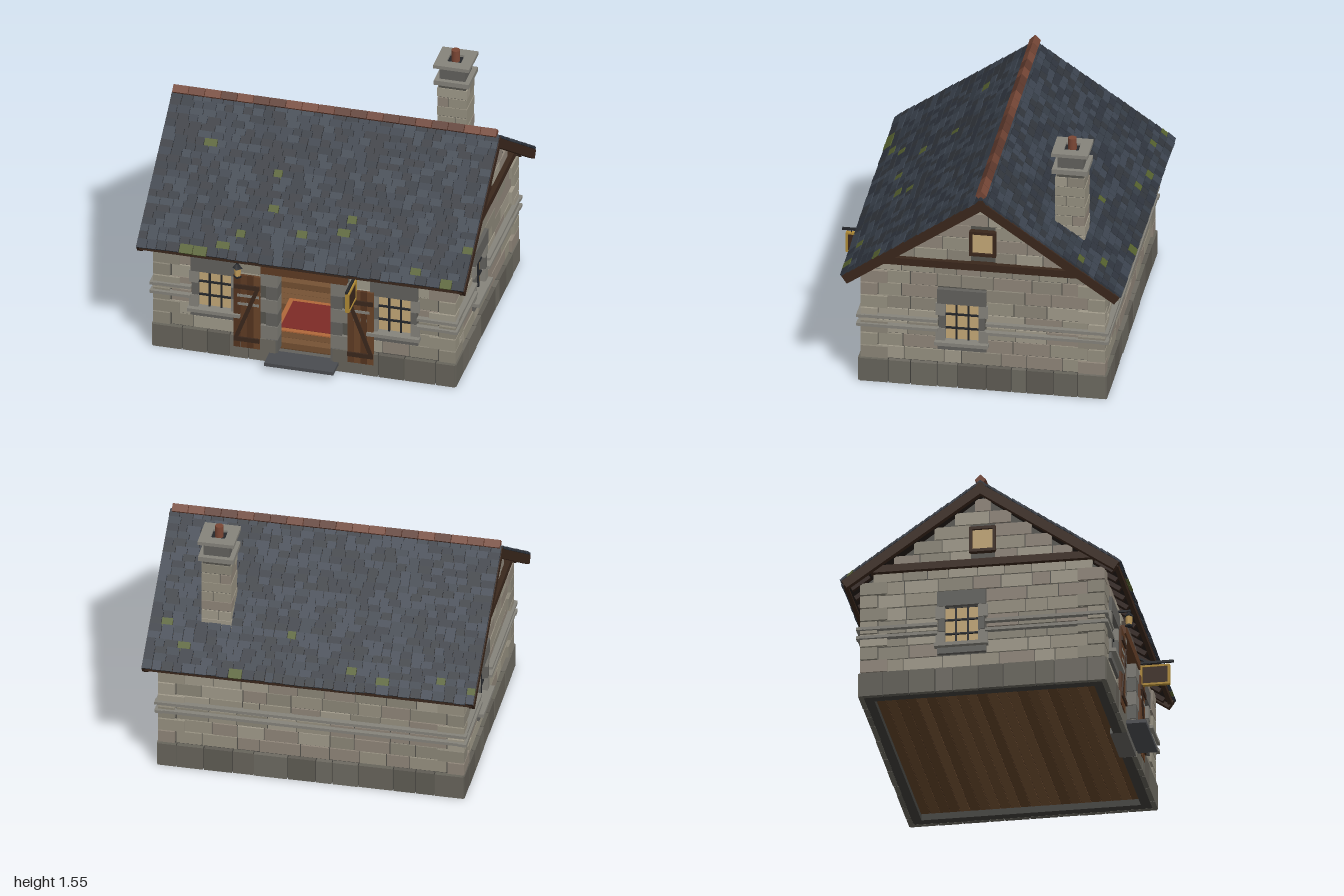
import * as THREE from 'three';
import { mergeGeometries } from 'three/addons/utils/BufferGeometryUtils.js';

const STONE = [0x969080, 0x8b8678, 0xa09a8a, 0x8f8579];
const PLINTH = [0x67645b, 0x5f5c54, 0x6d6a61];
const SLATE = [0x353c46, 0x2e343d, 0x3b434e, 0x31353b];
const RIDGE = [0x6b4031, 0x5c382c, 0x744636];
const MORTAR = 0x56544e, DRESSED = 0x62615d, SILL = 0x85837b, BEAM = 0x3a271c, IRON = 0x24262a;
const DOOR = 0x5f3b24, GOLD = 0xb08a35, GLASS = 0xc4a877, MOSS = 0x55602f, PALE = 0xb3ac98;
const HX = 0.9, HZ = 0.715, WALL0 = 0.155, WALL1 = 0.74, ROWS = 7;
const RIDGE_Y = 1.31, PITCH = Math.atan(0.69), SLOPE = 1.008;

export function createModel() {
  const model = new THREE.Group();
  model.name = 'stoneCottage';
  const parts = new Map();
  const ID = new THREE.Matrix4();
  let seed = 7;
  const rnd = () => (seed = (seed * 16807) % 2147483647) / 2147483647;
  const pick = list => list[Math.floor(rnd() * list.length)];

  // Collect geometry per part and colour; each bucket becomes one mesh
  const put = (name, color, geo, M = ID) => {
    const key = name + '|' + color;
    if (!parts.has(key)) parts.set(key, { name, color, geos: [] });
    const g = geo.index ? geo.toNonIndexed() : geo;
    parts.get(key).geos.push(g.applyMatrix4(M));
  };
  const box = (name, color, w, h, d, x, y, z, M = ID, rx = 0, rz = 0) =>
    put(name, color, new THREE.BoxGeometry(w, h, d).rotateX(rx).rotateZ(rz).translate(x, y, z), M);
  const cyl = (name, color, r0, r1, h, x, y, z, n = 10) =>
    put(name, color, new THREE.CylinderGeometry(r0, r1, h, n).translate(x, y, z));
  const frame = (angle, dist) => new THREE.Matrix4().makeRotationY(angle)
    .multiply(new THREE.Matrix4().makeTranslation(0, 0, dist));

  // Lay one row of blocks from a to b, leaving out the gaps [from, to]
  const row = (name, colors, M, a, b, y0, y1, gaps, width, z, depth, joint = 0.006) => {
    let start = a;
    for (const [g0, g1] of [...gaps, [b, b]]) {
      const len = g0 - start;
      if (len > 0.02) {
        const n = Math.max(1, Math.round(len / width));
        const cuts = Array.from({ length: n + 1 }, (_, i) =>
          start + len * (i + (i > 0 && i < n ? (rnd() - 0.5) * 0.5 : 0)) / n);
        for (let i = 0; i < n; i++)
          box(name, pick(colors), cuts[i + 1] - cuts[i] - joint, y1 - y0 - joint, depth,
            (cuts[i] + cuts[i + 1]) / 2, (y0 + y1) / 2, z - depth / 2 + (rnd() - 0.5) * 0.005, M);
      }
      start = g1;
    }
  };

  // Window with bars, dressed stone surround and sill, in wall coordinates
  const windowAt = (c, M) => {
    box('windowGlass', GLASS, 0.21, 0.25, 0.012, c, 0.427, -0.025, M);
    for (const i of [-1, 1]) {
      box('windowBars', IRON, 0.01, 0.25, 0.014, c + i * 0.036, 0.427, -0.014, M);
      box('windowBars', IRON, 0.21, 0.01, 0.014, c, 0.427 + i * 0.045, -0.014, M);
      for (let k = 0; k < 3; k++) {
        const w = k === 1 ? 0.035 : 0.055;
        box('windowJambs', k === 1 ? DRESSED : SILL, w, 0.08, 0.05, c + i * (0.1 + w / 2), 0.347 + k * 0.083, -0.01, M);
      }
    }
    box('windowLintel', DRESSED, 0.29, 0.095, 0.055, c, 0.6, -0.008, M);
    box('windowSill', SILL, 0.32, 0.022, 0.09, c, 0.296, 0, M);
    box('windowApron', DRESSED, 0.29, 0.038, 0.05, c, 0.266, -0.01, M);
  };

  // Walls: mortar core with openings, coursed stone, plinth and string courses
  const wall = (angle, half, dist, windows, door, gable) => {
    const M = frame(angle, dist), h = (WALL1 - WALL0) / ROWS;
    const s = new THREE.Shape();
    s.moveTo(-half + 0.02, 0.1);
    if (door) s.lineTo(-0.17, 0.1).lineTo(-0.17, 0.62).lineTo(0.17, 0.62).lineTo(0.17, 0.1);
    s.lineTo(half - 0.02, 0.1).lineTo(half - 0.02, WALL1);
    if (gable) s.lineTo(0, 1.25);
    s.lineTo(-half + 0.02, WALL1).closePath();
    for (const c of windows) {
      const hole = new THREE.Path();
      hole.moveTo(c - 0.105, 0.305).lineTo(c - 0.105, 0.55).lineTo(c + 0.105, 0.55).lineTo(c + 0.105, 0.305).closePath();
      s.holes.push(hole);
      windowAt(c, M);
    }
    put('wallCore', MORTAR, new THREE.ExtrudeGeometry(s, { depth: 0.07, bevelEnabled: false }).translate(0, 0, -0.08), M);
    const gapsAt = y => {
      const g = y > 0.24 && y < 0.65 ? windows.map(c => [c - 0.143, c + 0.143]) : [];
      if (door && y < 0.69) g.push([-0.27, 0.27]);
      return g.sort((p, q) => p[0] - q[0]);
    };
    for (let i = 0; i < ROWS; i++) {
      const y = WALL0 + i * h;
      row('wallStones', STONE, M, -half + 0.09, half - 0.09, y, y + h, gapsAt(y + h / 2), 0.19, 0, 0.025);
    }
    for (const y of [0.38, 0.437])
      row('stringCourse', [SILL], M, -half - 0.035, half + 0.035, y - 0.009, y + 0.009, gapsAt(y), 3, 0.032, 0.045, 0);
    const gap = door ? [[-0.17, 0.17]] : [];
    row('plinthStones', PLINTH, M, -half - 0.02, half + 0.02, 0, WALL0, gap, 0.15, 0.024, 0.03);
    row('plinthCore', [0x3f3e3a], M, -half + 0.01, half - 0.01, 0.004, WALL0 - 0.004, gap, 3, 0.008, 0.07, 0);
    if (!gable) return;
    // Gable stones stepping under the slope, tie beam and attic window
    for (let y = WALL1; y < 1.2; y += h) {
      const w = (1.275 - y - h) / 0.69;
      if (w > 0.03) row('gableStones', STONE, M, -w, w, y, y + h, y > 0.82 && y < 1.05 ? [[-0.07, 0.07]] : [], 0.17, 0, 0.025);
    }
    box('tieBeam', BEAM, 1.33, 0.045, 0.05, 0, 0.818, 0.005, M);
    box('atticGlass', GLASS, 0.13, 0.135, 0.02, 0, 0.97, 0, M);
    for (const i of [-1, 1]) {
      box('atticFrame', BEAM, 0.018, 0.16, 0.04, i * 0.07, 0.97, 0.005, M);
      box('atticFrame', BEAM, 0.158, 0.018, 0.04, 0, 0.97 + i * 0.072, 0.005, M);
    }
  };
  wall(0, HX, HZ, [-0.545, 0.545], true, false);
  wall(Math.PI, HX, HZ, [], false, false);
  wall(Math.PI / 2, HZ, HX, [-0.125], false, true);
  wall(-Math.PI / 2, HZ, HX, [-0.125], false, true);

  // Corner quoins, long and short sides alternating
  const qh = (WALL1 - WALL0) / ROWS;
  for (const sx of [-1, 1]) for (const sz of [-1, 1]) for (let i = 0; i < ROWS; i++) {
    const lx = i % 2 ? 0.16 : 0.1, lz = i % 2 ? 0.1 : 0.16;
    box('quoins', pick(STONE), lx, qh - 0.008, lz, sx * (0.918 - lx / 2), WALL0 + (i + 0.5) * qh, sz * (0.728 - lz / 2));
  }

  // Roof: deck, slates, verge boards, fascia and rafter tails on both slopes
  const N = 22, step = SLOPE / N;
  for (const angle of [0, Math.PI]) {
    const M = new THREE.Matrix4().makeRotationY(angle)
      .multiply(new THREE.Matrix4().makeTranslation(0, RIDGE_Y, 0))
      .multiply(new THREE.Matrix4().makeRotationX(PITCH));
    box('roofDeck', 0x241c17, 1.95, 0.03, SLOPE - 0.01, 0, -0.028, SLOPE / 2, M);
    for (let r = 0; r < N; r++) {
      let x = -0.995;
      while (x < 0.994) {
        let w = 0.05 + rnd() * 0.035;
        if (0.995 - x - w < 0.03) w = 0.995 - x;
        const moss = rnd() < (r > 13 ? 0.03 : 0.004);
        box('roofSlates', moss ? MOSS : pick(SLATE), w - 0.004, 0.012, step * 1.25,
          x + w / 2, -0.004 + rnd() * 0.003, (r + 0.5) * step + rnd() * 0.006, M, 0.1);
        x += w;
      }
    }
    for (const s of [-1, 1]) box('vergeBoards', BEAM, 0.035, 0.055, SLOPE + 0.01, s * 0.979, -0.04, SLOPE / 2, M);
    const F = frame(angle, 0);
    box('fascia', BEAM, 1.96, 0.035, 0.025, 0, 0.718, 0.805, F);
    for (let i = 0; i < 15; i++)
      box('rafterTails', 0x302018, 0.025, 0.03, 0.13, -0.91 + i * 0.13, -0.055, 0.92, M);
  }
  for (let i = 0; i < 20; i++)
    box('ridgeTiles', pick(RIDGE), 0.094, 0.047, 0.047, -0.94 + i * 0.0985, 1.322, 0, ID, Math.PI / 4);

  // Chimney: coursed shaft, band, neck, hollow cap and pot
  const cx = 0.6, cz = -0.482;
  box('chimneyCore', MORTAR, 0.165, 0.6, 0.165, cx, 1.06, cz);
  for (let i = 0; i < 9; i++) {
    const y = 0.79 + i * 0.064, cut = 0.065 + rnd() * 0.05;
    for (const [p, w] of [[-0.09 + cut / 2, cut], [cut / 2, 0.18 - cut]])
      i % 2 ? box('chimneyStones', pick(STONE), w - 0.005, 0.059, 0.18, cx + p, y, cz)
        : box('chimneyStones', pick(STONE), 0.18, 0.059, w - 0.005, cx, y, cz + p);
  }
  box('chimneyBand', SILL, 0.212, 0.03, 0.212, cx, 1.375, cz);
  box('chimneyNeck', DRESSED, 0.155, 0.09, 0.155, cx, 1.43, cz);
  for (const s of [-1, 1]) {
    box('chimneyCap', SILL, 0.217, 0.022, 0.065, cx, 1.485, cz + s * 0.076);
    box('chimneyCap', SILL, 0.065, 0.022, 0.09, cx + s * 0.076, 1.485, cz);
  }
  box('chimneyFlue', IRON, 0.09, 0.01, 0.09, cx, 1.477, cz);
  cyl('chimneyPot', 0x7a4634, 0.025, 0.027, 0.1, cx, 1.505, cz, 12);

  // Doorway: jambs, timber lintel, relieving arch, threshold and step
  for (const s of [-1, 1]) for (let i = 0; i < 6; i++) {
    const w = i % 2 ? 0.105 : 0.07;
    box('doorJambs', i % 2 ? 0x7c7a73 : DRESSED, w, 0.086, 0.09, s * (0.16 + w / 2), 0.11 + i * 0.09, HZ - 0.025);
    if (!(i % 2)) box('doorJambs', MORTAR, 0.03, 0.086, 0.07, s * 0.25, 0.11 + i * 0.09, HZ - 0.03);
  }
  box('doorLintel', DOOR, 0.52, 0.055, 0.1, 0, 0.632, HZ - 0.02);
  for (let i = -5; i <= 5; i++)
    box('doorArch', pick([0x5b5047, 0x4f463f]), 0.04, 0.055, 0.05, i * 0.043, 0.693 - i * i * 0.0008, HZ - 0.008, ID, 0, -i * 0.04);
  box('threshold', DRESSED, 0.34, 0.05, 0.1, 0, 0.03, HZ - 0.03);
  box('doorStep', 0x4a4c50, 0.42, 0.022, 0.15, 0, 0.053, 0.78);

  // Pair of plank door leaves folded back against the wall
  for (const s of [-1, 1]) {
    const x = s * 0.345, z = HZ + 0.022;
    for (let i = -1.5; i < 2; i++) box('doorPlanks', pick([DOOR, 0x54341f, 0x6a4429]), 0.038, 0.495, 0.016, x + i * 0.04, 0.328, z);
    for (const y of [0.14, 0.5]) box('doorLedges', BEAM, 0.155, 0.028, 0.012, x, y, z + 0.012);
    box('doorBrace', BEAM, 0.024, 0.37, 0.01, x, 0.32, z + 0.012, ID, 0, s * 0.36);
  }

  // Wall lantern
  const lx = -0.39, lz = HZ + 0.07;
  box('lanternBracket', IRON, 0.012, 0.012, 0.09, lx, 0.685, HZ + 0.035);
  cyl('lanternRoof', IRON, 0.006, 0.032, 0.03, lx, 0.663, lz, 4);
  cyl('lanternGlass', 0xd0a860, 0.022, 0.018, 0.055, lx, 0.62, lz, 4);
  cyl('lanternBase', IRON, 0.024, 0.024, 0.01, lx, 0.59, lz, 4);

  // Plain hanging board on an iron bracket
  const sx = 0.31;
  box('signBracket', IRON, 0.014, 0.014, 0.22, sx, 0.672, HZ + 0.11);
  box('signBracket', IRON, 0.012, 0.012, 0.1, sx, 0.69, HZ + 0.04, ID, 0.5);
  box('signBoard', BEAM, 0.016, 0.105, 0.16, sx, 0.588, HZ + 0.11);
  for (const s of [-1, 1]) {
    box('signFrame', GOLD, 0.024, 0.012, 0.175, sx, 0.588 + s * 0.058, HZ + 0.11);
    box('signFrame', GOLD, 0.024, 0.125, 0.012, sx, 0.588, HZ + 0.11 + s * 0.082);
    box('signHangers', IRON, 0.006, 0.03, 0.006, sx, 0.66, HZ + 0.11 + s * 0.055);
  }

  // Plank floor and rug
  for (let i = 0; i < 22; i++)
    box('floorPlanks', pick([0x6b4a2e, 0x614228, 0x755234]), 1.66, 0.02, 0.0575, 0, 0.05, -0.63 + i * 0.06);
  box('floorJoints', 0x2c1f15, 1.66, 0.012, 1.3, 0, 0.05, 0);
  box('rugBorder', 0xb0683a, 0.5, 0.008, 0.36, 0, 0.064, 0.3);
  box('rug', 0x7d2b26, 0.44, 0.01, 0.3, 0, 0.066, 0.3);

  // Hearth against the back wall: panelled base, arched opening, rail, loaf
  for (let i = -2; i <= 2; i++) box('hearthBase', PALE, 0.117, 0.23, 0.2, i * 0.12, 0.175, -0.52);
  const front = new THREE.Shape();
  front.moveTo(-0.3, 0.29).lineTo(-0.16, 0.29).lineTo(-0.16, 0.34).absarc(0, 0.34, 0.16, Math.PI, 0, true);
  front.lineTo(0.16, 0.29).lineTo(0.3, 0.29).lineTo(0.3, 0.72).lineTo(-0.3, 0.72).closePath();
  put('hearthArch', PALE, new THREE.ExtrudeGeometry(front, { depth: 0.15, bevelEnabled: false, curveSegments: 16 }).translate(0, 0, -0.6));
  box('hearthBack', 0x2b2c2f, 0.5, 0.35, 0.02, 0, 0.45, -0.6);
  box('hearthRail', GOLD, 0.4, 0.012, 0.012, 0, 0.51, -0.43);
  for (let i = 0; i < 7; i++) {
    const a = i * Math.PI / 3, r = i < 6 ? 0.027 : 0;
    put('loaf', GOLD, new THREE.SphereGeometry(0.018, 8, 6).translate(r * Math.cos(a), 0.338 + r * Math.sin(a), -0.47));
  }

  for (const { name, color, geos } of parts.values()) {
    const mesh = new THREE.Mesh(mergeGeometries(geos), new THREE.MeshStandardMaterial({ color }));
    mesh.name = name;
    mesh.position.z = -0.045;
    model.add(mesh);
  }
  return model;
}
